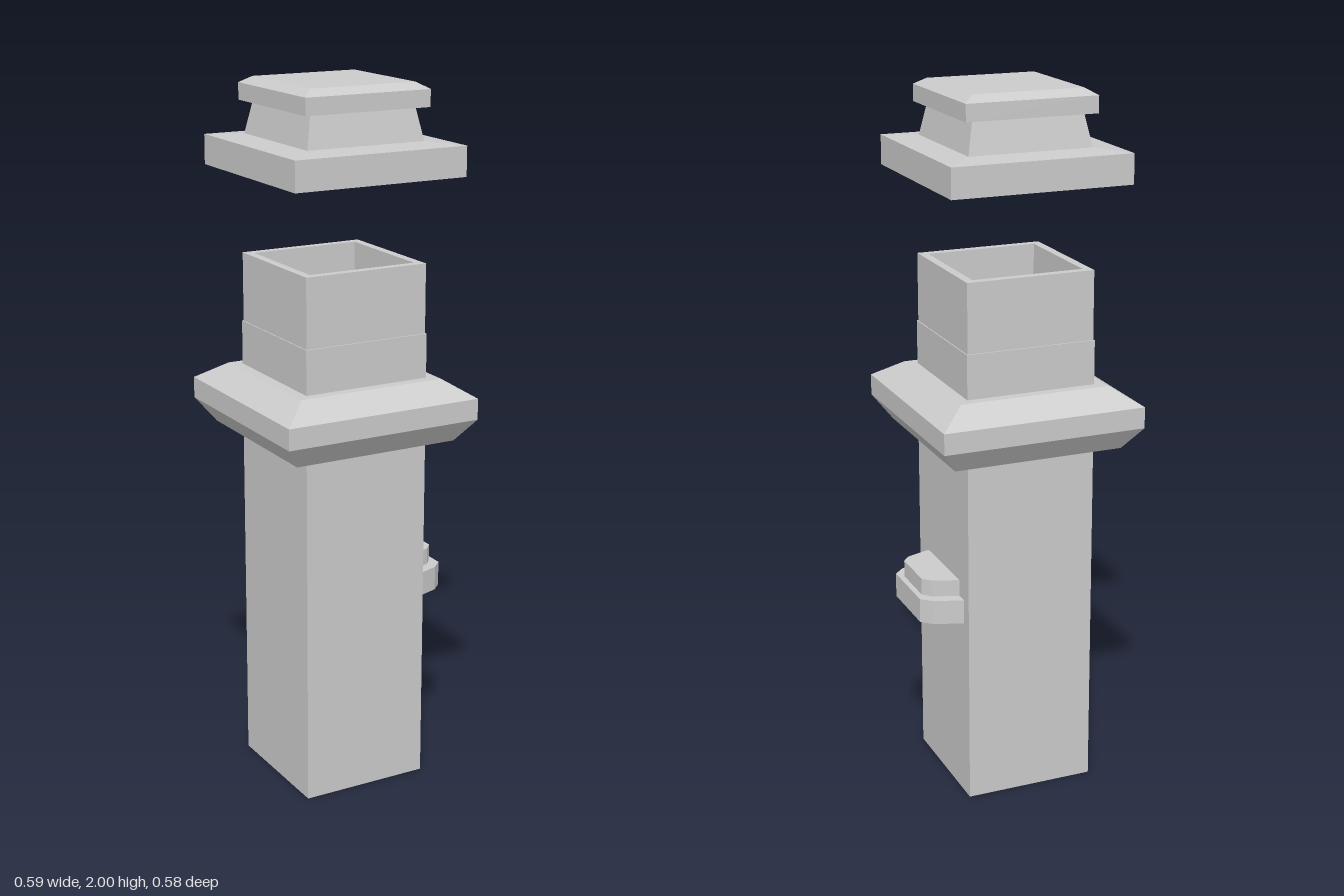
import * as THREE from 'three';

const CENTER_X = -0.004;
const CORNERS = [[1, 1], [1, -1], [-1, -1], [-1, 1]];

// Rectangular loft through rings of [halfX, halfZ, y], listed upward along the outside
function loft(name, rings, { capStart = false, capEnd = false, side = THREE.FrontSide } = {}) {
  const pos = [];
  const corner = ([hx, hz, y], j) => [CORNERS[j % 4][0] * hx, y, CORNERS[j % 4][1] * hz];
  const quad = (a, b, c, d) => pos.push(...a, ...b, ...c, ...a, ...c, ...d);
  for (let i = 0; i < rings.length - 1; i++) {
    const lo = rings[i], hi = rings[i + 1];
    for (let j = 0; j < 4; j++) quad(corner(lo, j), corner(lo, j + 1), corner(hi, j + 1), corner(hi, j));
  }
  const first = rings[0], last = rings[rings.length - 1];
  if (capStart) quad(...[3, 2, 1, 0].map((j) => corner(first, j)));
  if (capEnd) quad(...[0, 1, 2, 3].map((j) => corner(last, j)));
  const geo = new THREE.BufferGeometry();
  geo.setAttribute('position', new THREE.Float32BufferAttribute(pos, 3));
  geo.computeVertexNormals();
  const mesh = new THREE.Mesh(geo, material(side));
  mesh.name = name;
  mesh.position.x = CENTER_X;
  return mesh;
}

function material(side = THREE.FrontSide) {
  return new THREE.MeshStandardMaterial({ color: 0xcccccc, flatShading: true, side });
}

// Slab with a faceted front, standing out from the +x wall; outline is one half as [x, z]
function bracketSlab(name, half, y, height) {
  const mirrored = half.map(([x, z]) => [x, -z]).reverse();
  const shape = new THREE.Shape([...mirrored, ...half].map(([x, z]) => new THREE.Vector2(x, z)));
  const geo = new THREE.ExtrudeGeometry(shape, { depth: height, bevelEnabled: false });
  geo.rotateX(-Math.PI / 2);
  const mesh = new THREE.Mesh(geo, material());
  mesh.name = name;
  mesh.position.y = y;
  return mesh;
}

export function createModel() {
  const model = new THREE.Group();
  model.name = 'pillar';

  // Hollow shaft, open at the bottom
  model.add(loft('shaft', [
    [0.187, 0.19, 0], [0.187, 0.19, 1.32], [0.184, 0.186, 1.32],
  ], { side: THREE.DoubleSide }));

  // Open box at the top of the shaft, with a thick rim
  model.add(loft('shaftRim', [
    [0.184, 0.186, 1.32], [0.184, 0.186, 1.515], [0.16, 0.162, 1.515], [0.16, 0.162, 1.321],
  ], { capEnd: true, side: THREE.DoubleSide }));

  // Bevelled collar around the shaft
  model.add(loft('collar', [
    [0.245, 0.245, 1.02], [0.293, 0.291, 1.085], [0.293, 0.291, 1.145], [0.217, 0.219, 1.195],
  ], { capStart: true, capEnd: true }));

  // Floating cap: plate, tapered neck and bevelled lid
  const cap = new THREE.Group();
  cap.name = 'cap';
  cap.add(loft('capPlate', [
    [0.257, 0.265, 1.755], [0.257, 0.265, 1.838], [0.176, 0.181, 1.845],
  ], { capStart: true, capEnd: true }));
  cap.add(loft('capNeck', [[0.176, 0.181, 1.845], [0.158, 0.163, 1.935]]));
  cap.add(loft('capLid', [
    [0.187, 0.192, 1.935], [0.187, 0.192, 1.982], [0.158, 0.163, 2],
  ], { capStart: true, capEnd: true }));
  model.add(cap);

  // Two-step bracket on the left wall
  const bracket = new THREE.Group();
  bracket.name = 'bracket';
  bracket.add(bracketSlab('bracketBase', [[0.293, 0.098], [0.263, 0.127], [0.18, 0.155]], 0.53, 0.07));
  bracket.add(bracketSlab('bracketTop', [[0.277, 0.07], [0.255, 0.095], [0.18, 0.122]], 0.6, 0.048));
  model.add(bracket);

  return model;
}
